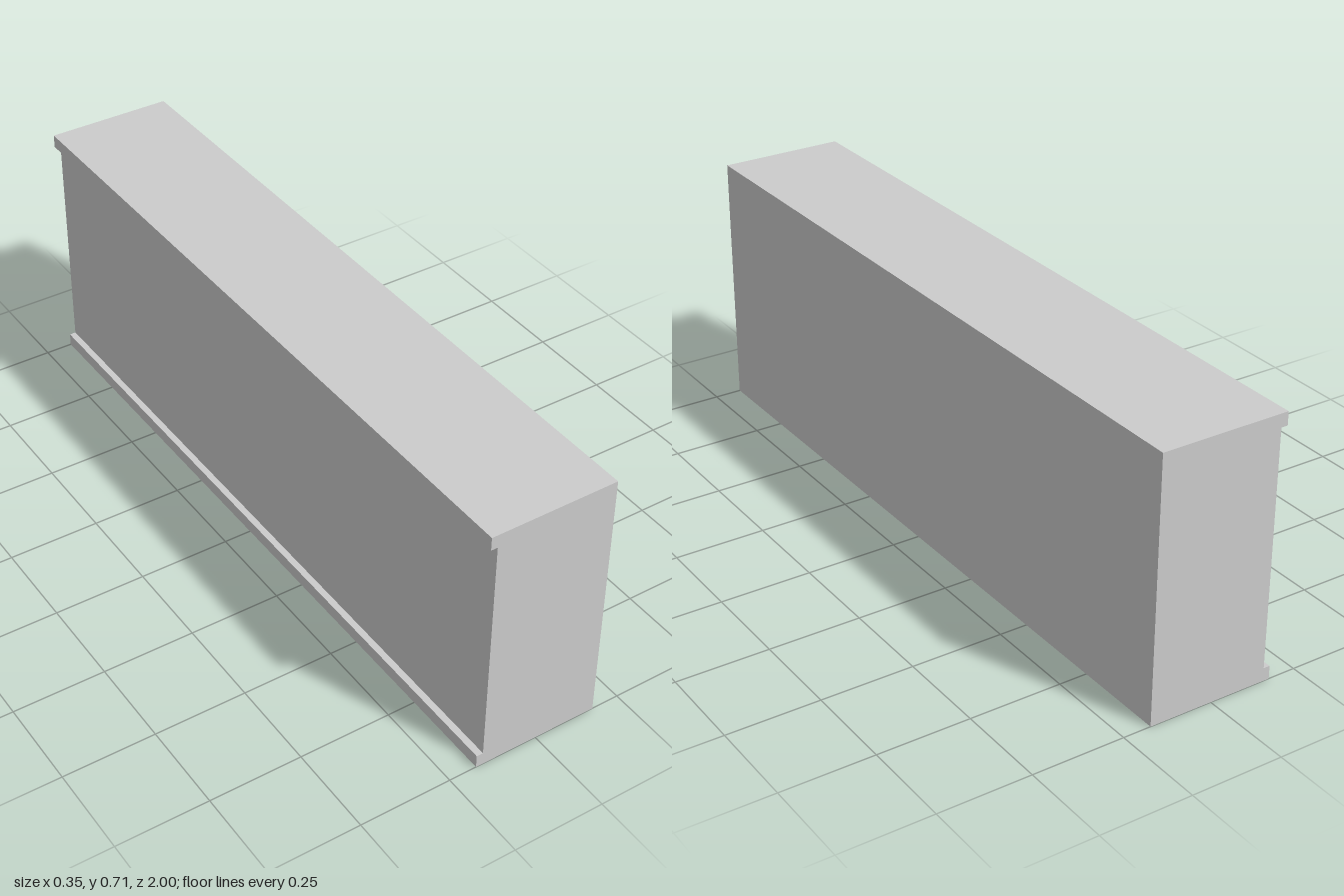
import * as THREE from 'three';

export function createModel() {
  const group = new THREE.Group();
  const material = new THREE.MeshStandardMaterial({ color: 0xcccccc, flatShading: true });

  const halfWidth = 0.174, height = 0.71, length = 2;
  const lipDepth = 0.018, lipHeight = 0.036;
  const recessX = -halfWidth + lipDepth;

  // Constant cross-section: a block with a lip along the top and bottom of one side
  const profile = new THREE.Shape([
    [-halfWidth, 0],
    [halfWidth, 0],
    [halfWidth, height],
    [-halfWidth, height],
    [-halfWidth, height - lipHeight],
    [recessX, height - lipHeight],
    [recessX, lipHeight],
    [-halfWidth, lipHeight],
  ].map(([x, y]) => new THREE.Vector2(x, y)));

  const geometry = new THREE.ExtrudeGeometry(profile, { depth: length, bevelEnabled: false });
  geometry.translate(0, 0, -length / 2);

  const beam = new THREE.Mesh(geometry, material);
  beam.name = 'lippedBeam';
  group.add(beam);
  return group;
}
